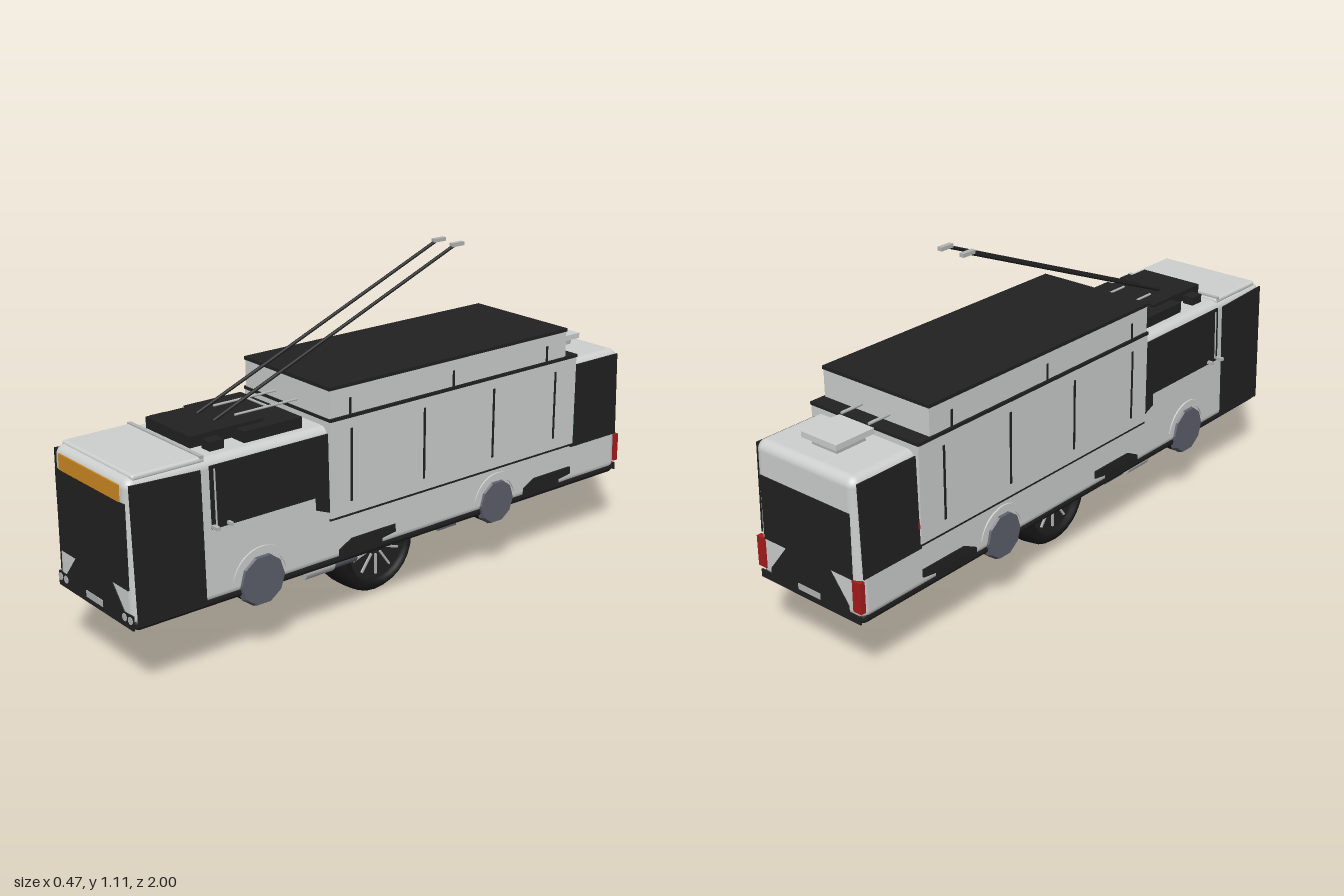
import * as THREE from 'three';
import { RoundedBoxGeometry } from 'three/addons/geometries/RoundedBoxGeometry.js';

const mat = (name, color, side = THREE.FrontSide) => {
  const m = new THREE.MeshStandardMaterial({ color, side });
  m.name = name;
  return m;
};

export function createModel() {
  const white = mat('bodyWhite', 0xcdd0ce);
  const black = mat('black', 0x212121);
  const tyreBlack = mat('tyreBlack', 0x181818);
  const amber = mat('signAmber', 0xd08a24);
  const hubGrey = mat('hubGrey', 0x5c606b);
  const silver = mat('silver', 0xb4b6b5);
  const red = mat('lampRed', 0xa81c1c);
  const root = new THREE.Group();
  root.name = 'trolleybus';

  const add = (name, geo, material, parent = root) => {
    const m = new THREE.Mesh(geo, material);
    m.name = name;
    parent.add(m);
    return m;
  };
  // box given by its limits
  const box = (name, material, x0, x1, y0, y1, z0, z1) => {
    const g = new THREE.BoxGeometry(x1 - x0, y1 - y0, z1 - z0);
    g.translate((x0 + x1) / 2, (y0 + y1) / 2, (z0 + z1) / 2);
    return add(name, g, material);
  };
  const rod = (name, material, a, b, r, sides = 8) => {
    const A = new THREE.Vector3(...a), B = new THREE.Vector3(...b);
    const d = B.clone().sub(A);
    const m = add(name, new THREE.CylinderGeometry(r, r, d.length(), sides), material);
    m.position.copy(A).add(B).multiplyScalar(0.5);
    m.quaternion.setFromUnitVectors(new THREE.Vector3(0, 1, 0), d.normalize());
    return m;
  };
  // the body walls lean in slightly towards the roof
  const lean = (y) => 1 - 0.055 * THREE.MathUtils.clamp((y - 0.27) / 0.4, 0, 1);
  const taper = (g) => {
    const p = g.attributes.position;
    for (let i = 0; i < p.count; i++) p.setX(i, p.getX(i) * lean(p.getY(i)));
    g.computeVertexNormals();
    return g;
  };
  const shapeOf = (pts) => new THREE.Shape(pts.map((p) => new THREE.Vector2(...p)));
  // thin side plate from (z, y) points, on both flanks
  const sidePlate = (name, material, pts, x = 0.2125) => {
    for (const s of [1, -1]) {
      const g = new THREE.ExtrudeGeometry(shapeOf(pts.map(([z, y]) => [-z, y])), { depth: 0.005, bevelEnabled: false });
      g.rotateY(Math.PI / 2);
      g.translate(x - 0.003, 0, 0);
      if (s < 0) {
        const p = g.attributes.position;
        for (let i = 0; i < p.count; i++) p.setX(i, -p.getX(i) + 0.0);
        for (let i = 0; i < p.count; i += 3) {
          const v = [p.getX(i), p.getY(i), p.getZ(i)];
          p.setXYZ(i, p.getX(i + 1), p.getY(i + 1), p.getZ(i + 1));
          p.setXYZ(i + 1, ...v);
        }
      }
      add(name, taper(g), material);
    }
  };
  const rect = (a, b, c, d) => [[a, c], [b, c], [b, d], [a, d]];
  // thin plate from (x, y) points on the front or rear
  const endPlate = (name, material, pts, z) =>
    add(name, new THREE.ExtrudeGeometry(shapeOf(pts), { depth: 0.005, bevelEnabled: false }), material).position.z = z;

  // Body shell and dark floor
  const shell = new RoundedBoxGeometry(0.42, 0.44, 1.99, 4, 0.03);
  shell.translate(0, 0.45, 0);
  const p = shell.attributes.position;
  for (let i = 0; i < p.count; i++) p.setX(i, p.getX(i) * lean(p.getY(i)));
  add('bodyShell', shell, white);
  const floor = new RoundedBoxGeometry(0.416, 0.04, 1.98, 2, 0.018);
  floor.translate(0, 0.238, 0);
  add('floor', floor, black);
  const roofLip = new RoundedBoxGeometry(0.38, 0.02, 0.24, 2, 0.009);
  roofLip.translate(0, 0.668, 0.85);
  add('cabRoof', roofLip, white);
  box('roofSeam', silver, -0.19, 0.19, 0.672, 0.682, 0.735, 0.748);

  // Side glazing and lower vents
  sidePlate('cabSidePanel', black, [[0.755, 0.235], [0.985, 0.235], [0.988, 0.655], [0.755, 0.645]]);
  sidePlate('middleWindow', black, rect(0.3, 0.725, 0.46, 0.65));
  sidePlate('middlePanelStep', black, [[0.3, 0.4], [0.35, 0.42], [0.35, 0.47], [0.3, 0.47]]);
  sidePlate('rearSideWindow', black, rect(-0.982, -0.755, 0.365, 0.655));
  for (const z of [0.155, -0.64])
    sidePlate('vent', black, [[z - 0.06, 0.24], [z + 0.11, 0.24], [z + 0.11, 0.27], [z + 0.06, 0.295],
      [z - 0.115, 0.295], [z - 0.115, 0.27], [z - 0.06, 0.262]]);
  sidePlate('sideMarker', red, rect(-0.765, -0.755, 0.43, 0.45), 0.215);

  // Front
  const mask = (t) => [[-0.205, 0.225], [0.205, 0.225], [0.205, 0.27], [0.16, 0.27], [0.1, 0.342],
    [0.187, 0.342], [0.187, t], [-0.187, t], [-0.187, 0.342], [-0.1, 0.342], [-0.16, 0.27], [-0.205, 0.27]];
  endPlate('windscreen', black, mask(0.6), 0.993);
  endPlate('destinationSign', amber, rect(-0.163, 0.163, 0.6, 0.65), 0.993);
  endPlate('frontPlate', silver, rect(-0.045, 0.045, 0.242, 0.263), 0.995);
  for (const s of [-1, 1]) for (const x of [0.162, 0.193]) {
    const lamp = add('headlamp', new THREE.CylinderGeometry(0.012, 0.012, 0.006, 12), silver);
    lamp.rotation.x = Math.PI / 2;
    lamp.position.set(s * x, 0.254, 0.997);
  }

  // Rear
  endPlate('rearWindow', black, [[-0.16, 0.225], [0.16, 0.225], [0.16, 0.27], [0.09, 0.36], [0.18, 0.36], [0.18, 0.565],
    [-0.18, 0.565], [-0.18, 0.36], [-0.09, 0.36], [-0.16, 0.27]], -0.998);
  endPlate('rearBumper', black, rect(-0.205, 0.205, 0.225, 0.25), -0.998);
  endPlate('rearPlate', silver, rect(-0.045, 0.045, 0.245, 0.265), -1);
  for (const s of [-1, 1])
    box('tailLamp', red, s * 0.196 - 0.016, s * 0.196 + 0.016, 0.262, 0.36, -1, -0.982);

  // Raised cargo body in two tiers
  box('lowerTier', white, -0.215, 0.215, 0.38, 0.69, -0.76, 0.3);
  box('lowerSill', black, -0.213, 0.213, 0.372, 0.38, -0.76, 0.3);
  box('lowerTierLid', black, -0.217, 0.217, 0.688, 0.698, -0.762, 0.302);
  box('upperTier', white, -0.21, 0.21, 0.695, 0.787, -0.71, 0.3);
  box('upperTierRoof', black, -0.213, 0.213, 0.785, 0.796, -0.712, 0.302);
  for (const s of [-1, 1]) {
    for (const z of [0.22, -0.075, -0.375, -0.66])
      box('lowerSeam', black, s * 0.2155 - 0.0015, s * 0.2155 + 0.0015, 0.42, 0.655, z - 0.004, z + 0.004);
    for (const z of [0.22, -0.2, -0.62])
      box('upperSeam', black, s * 0.2105 - 0.0015, s * 0.2105 + 0.0015, 0.695, 0.75, z - 0.004, z + 0.004);
  }

  // Roof equipment
  box('roofUnitRear', black, -0.155, 0.155, 0.66, 0.705, 0.36, 0.57);
  box('roofUnitFront', black, -0.115, 0.115, 0.68, 0.715, 0.47, 0.73);
  for (const s of [-1, 1]) {
    box('roofUnitTab', black, s * 0.135 - 0.02, s * 0.135 + 0.02, 0.672, 0.7, 0.64, 0.69);
    rod('poleHolder', silver, [s * 0.055, 0.722, 0.3], [s * 0.055, 0.722, 0.53], 0.004);
    rod('currentPole', black, [s * 0.043, 0.715, 0.6], [s * 0.043, 1.1, -0.35], 0.0055);
    box('poleShoe', silver, s * 0.043 - 0.008, s * 0.043 + 0.008, 1.096, 1.108, -0.385, -0.335);
    rod('rearHook', silver, [s * 0.055, 0.72, -0.71], [s * 0.055, 0.72, -0.79], 0.005);
    // mirrors and their stalks
    box('mirror', silver, s * 0.22 - 0.015, s * 0.22 + 0.015, 0.464, 0.474, 0.715, 0.728);
    box('mirrorRear', silver, s * 0.217 - 0.012, s * 0.217 + 0.012, 0.464, 0.474, 0.665, 0.675);
    rod('mirrorStalk', silver, [s * 0.209, 0.47, 0.71], [s * 0.204, 0.64, 0.71], 0.003);
  }
  rod('holderBar', silver, [-0.055, 0.722, 0.41], [0.055, 0.722, 0.41], 0.004);
  box('rearRoofBox', white, -0.07, 0.07, 0.692, 0.71, -0.93, -0.785);
  box('rearRoofBoxBase', silver, -0.05, 0.05, 0.665, 0.692, -0.91, -0.8);

  // Faceted road wheels with fenders
  for (const z of [0.555, -0.405]) for (const s of [-1, 1]) {
    const r = z > 0 ? 0.086 : 0.08;
    const cyl = (name, material, x, w, rOut, rIn) => {
      const g = new THREE.CylinderGeometry(rOut, rIn, w, 10).toNonIndexed();
      g.computeVertexNormals();
      const m = add(name, g, material);
      m.rotation.z = -s * Math.PI / 2;
      m.position.set(s * x, 0.255, z);
    };
    cyl('roadTyre', tyreBlack, 0.15, 0.1, r - 0.002, r - 0.002);
    cyl('wheelCover', hubGrey, 0.207, 0.018, r - 0.008, r);
    const arch = new THREE.Shape();
    arch.absarc(0, 0, r + 0.022, 0.2, Math.PI - 0.2, false);
    arch.absarc(0, 0, r, Math.PI - 0.2, 0.2, true);
    const g = new THREE.ExtrudeGeometry(arch, { depth: 0.01, bevelEnabled: false, curveSegments: 16 });
    g.rotateY(Math.PI / 2);
    g.translate(s * 0.208 - 0.005, 0.255, z);
    add('fender', g, white);
  }

  // Underbody
  box('chassis', black, -0.1, 0.1, 0.19, 0.23, -0.5, 0.6);
  for (const z of [0.555, -0.405]) rod('axle', black, [-0.15, 0.21, z], [0.15, 0.21, z], 0.03);
  for (const z of [-0.26, -0.22]) box('rearTank', hubGrey, -0.15, 0.15, 0.185, 0.22, z - 0.02, z + 0.02);
  for (const s of [-1, 1]) {
    rod('airTank', silver, [s * 0.16, 0.207, 0.26], [s * 0.16, 0.207, 0.37], 0.025, 12);
    rod('airTankSmall', hubGrey, [s * 0.15, 0.203, 0.16], [s * 0.15, 0.203, 0.25], 0.022, 12);
  }

  // Large central wheel
  const wheel = new THREE.Group();
  wheel.name = 'centreWheel';
  wheel.position.set(0, 0.163, 0);
  wheel.rotation.z = Math.PI / 2;
  root.add(wheel);
  const prof = [[0.118, -0.066], [0.118, -0.083], [0.142, -0.083], [0.157, -0.065], [0.162, -0.03], [0.162, 0.03],
    [0.157, 0.065], [0.142, 0.083], [0.118, 0.083], [0.118, 0.066]];
  add('tyre', new THREE.LatheGeometry(prof.map((q) => new THREE.Vector2(...q)), 28), tyreBlack, wheel);
  add('rimDisc', new THREE.CylinderGeometry(0.119, 0.119, 0.132, 28), black, wheel);
  for (const s of [-1, 1]) {
    add('hub', new THREE.CylinderGeometry(0.022, 0.022, 0.012, 16), black, wheel).position.y = s * 0.07;
    for (let i = 0; i < 10; i++) {
      const g = new THREE.BoxGeometry(0.07, 0.008, 0.007);
      g.translate(0.065, s * 0.068, 0);
      g.rotateY((i * Math.PI) / 5);
      add('spoke', g, silver, wheel);
    }
  }
  return root;
}
